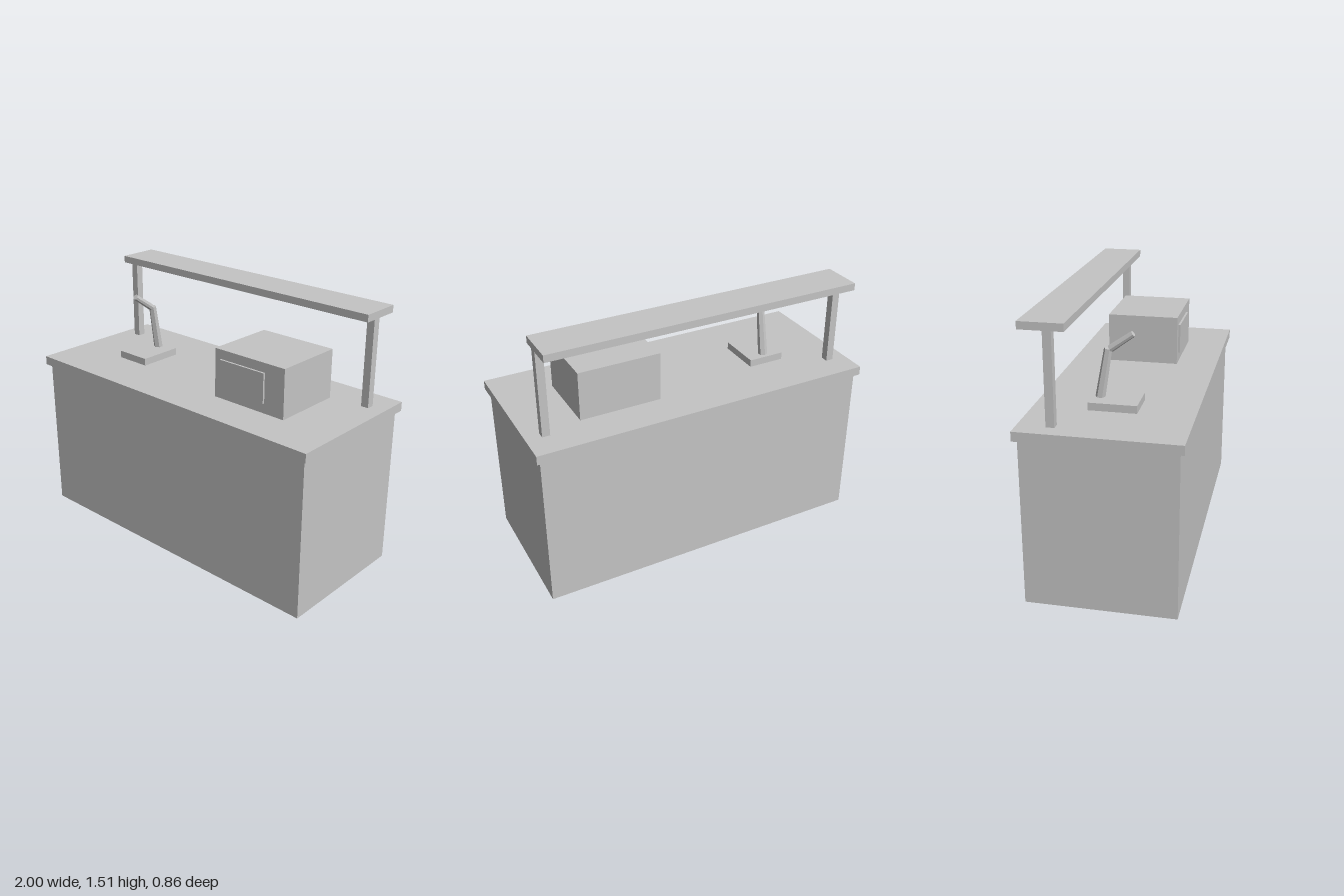
import * as THREE from 'three';

export function createModel() {
  const model = new THREE.Group();
  model.name = 'serviceCounter';
  const grey = new THREE.MeshStandardMaterial({ color: 0xc4c4c4 });
  grey.name = 'grey';

  // Box given by its lower and upper limits on each axis
  function box(name, [x0, x1], [y0, y1], [z0, z1]) {
    const mesh = new THREE.Mesh(new THREE.BoxGeometry(x1 - x0, y1 - y0, z1 - z0), grey);
    mesh.position.set((x0 + x1) / 2, (y0 + y1) / 2, (z0 + z1) / 2);
    mesh.name = name;
    model.add(mesh);
  }

  // Tapered faceted rod between two points
  function rod(name, from, to, r0, r1, sides) {
    const a = new THREE.Vector3(...from), b = new THREE.Vector3(...to);
    const dir = b.clone().sub(a);
    const geo = new THREE.CylinderGeometry(r1, r0, dir.length(), sides).toNonIndexed();
    geo.computeVertexNormals();
    const mesh = new THREE.Mesh(geo, grey);
    mesh.position.copy(a).add(b).multiplyScalar(0.5);
    mesh.quaternion.setFromUnitVectors(new THREE.Vector3(0, 1, 0), dir.normalize());
    mesh.name = name;
    model.add(mesh);
  }

  // Counter
  box('cabinet', [-0.977, 0.977], [0, 0.928], [-0.407, 0.407]);
  box('worktop', [-1, 1], [0.928, 0.98], [-0.43, 0.43]);

  // Overhead shelf on two posts
  box('shelf', [-0.912, 0.912], [1.473, 1.514], [-0.405, -0.17]);
  box('leftPost', [0.868, 0.912], [0.98, 1.473], [-0.278, -0.233]);
  box('rightPost', [-0.912, -0.868], [0.98, 1.473], [-0.278, -0.233]);

  // Oven with a raised door panel
  box('oven', [0.2, 0.676], [0.98, 1.263], [-0.216, 0.196]);
  box('ovenDoor', [0.243, 0.547], [1.037, 1.209], [0.195, 0.208]);

  // Tap: plinth, forward-leaning stem and rising spout
  box('tapPlinth', [-0.645, -0.431], [0.98, 1.022], [-0.133, 0.128]);
  rod('tapStem', [-0.54, 1.02, -0.09], [-0.537, 1.287, -0.046], 0.027, 0.022, 6);
  rod('tapSpout', [-0.537, 1.286, -0.035], [-0.541, 1.373, 0.087], 0.02, 0.017, 8);

  return model;
}
